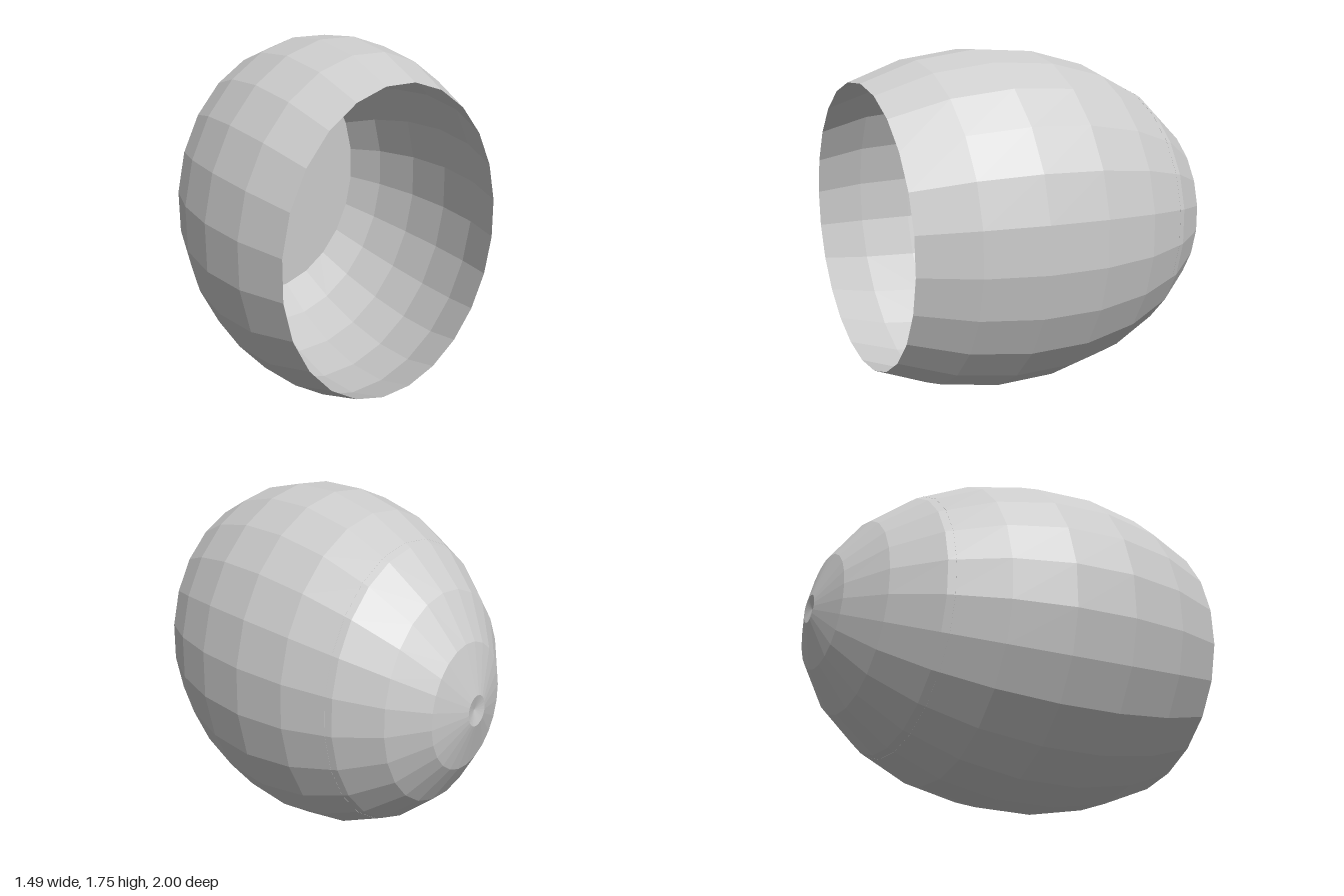
import * as THREE from 'three';

const SEGMENTS = 24;
const rad = THREE.MathUtils.degToRad;

// Slanted frame: sideways axis, long axis (towards the closed tip) and vertical axis
const frame = new THREE.Matrix4()
  .makeBasis(
    new THREE.Vector3(0.734, 0, -0.243),
    new THREE.Vector3(-0.157, 0, -1.137),
    new THREE.Vector3(0, 0.885, 0)
  )
  .setPosition(-0.003, 0.88, 0.15);

const material = new THREE.MeshStandardMaterial({
  color: 0xcccccc,
  flatShading: true,
  side: THREE.DoubleSide,
});

// Spin a unit profile of [radius, height] points and place it in the slanted frame
function spin(name, profile) {
  const points = profile.map(([r, h]) => new THREE.Vector2(r, h));
  const geometry = new THREE.LatheGeometry(points, SEGMENTS, rad(6.5));
  geometry.applyMatrix4(frame);
  const mesh = new THREE.Mesh(geometry, material);
  mesh.name = name;
  return mesh;
}

export function createModel() {
  const group = new THREE.Group();
  group.name = 'openEggShell';

  // Thin shell: rings every 15 degrees from the open rim to the tip
  const rings = [];
  for (let i = 8; i >= 0; i--) {
    const a = rad(4.7 + 15 * i);
    rings.push([Math.sin(a), Math.cos(a)]);
  }
  group.add(spin('shell', rings));

  // Shallow dimple closing the tip
  group.add(spin('tipDimple', [rings[8], [0, 0.982]]));

  // Flat floor inside the shell, facing the opening
  group.add(spin('innerFloor', [[0, 0.618], [0.782, 0.618]]));

  return group;
}
